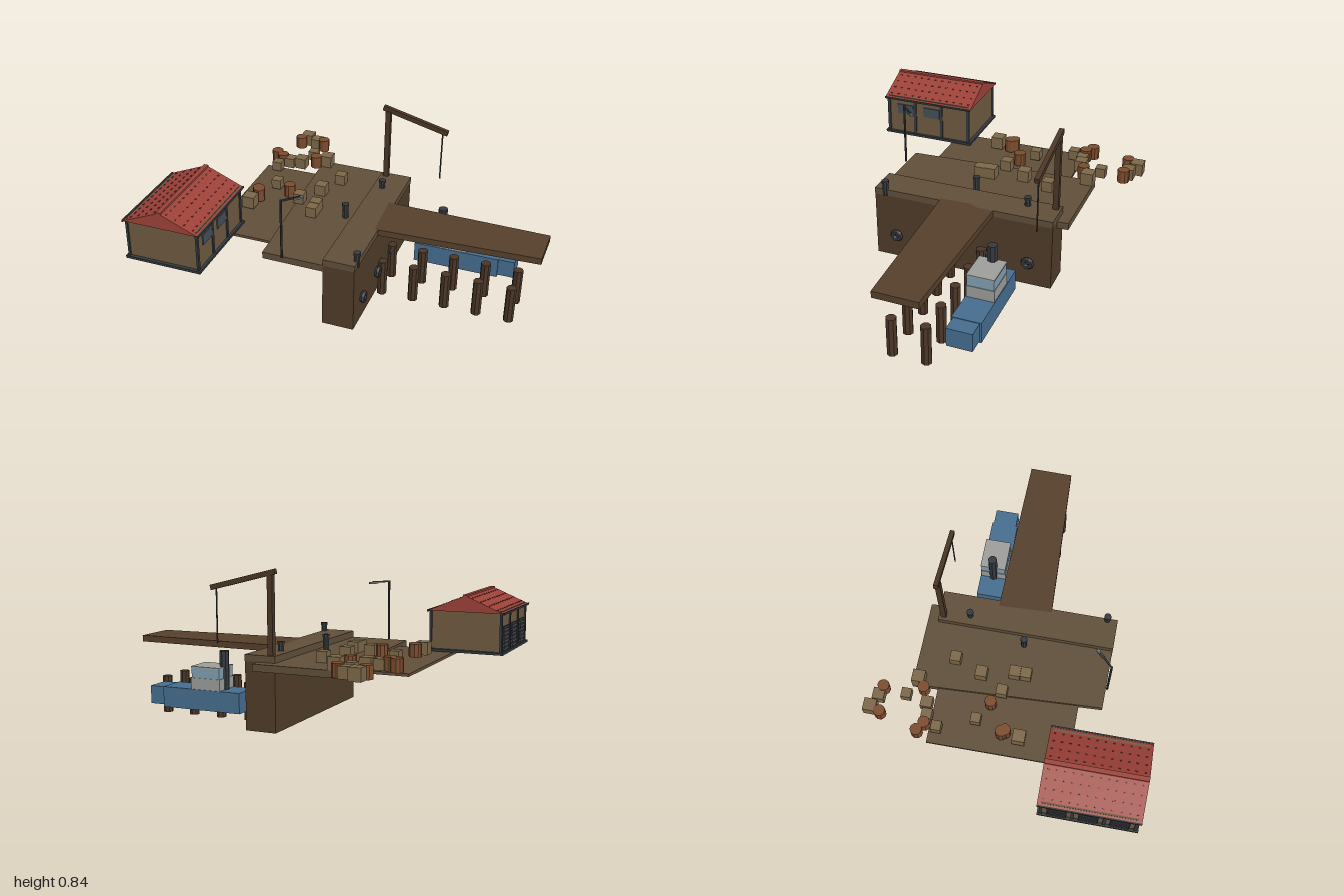
import * as THREE from 'three';

const mats = {};
const mat = (color) => (mats[color] ??= new THREE.MeshStandardMaterial({ color, flatShading: true }));
const C = {
  deck: 0x5f4e39, wall: 0x4f3b28, pier: 0x553f2b, post: 0x4a3626, crate: 0x7c6749, barrel: 0x7a4b2c,
  house: 0x6e5a40, roof: 0x9c4138, dark: 0x35393d, blue: 0x456c8e, glass: 0x7f9fb4, grey: 0x9c9c9a,
};

function add(parent, name, geo, color, x = 0, y = 0, z = 0) {
  const m = new THREE.Mesh(geo, mat(color));
  m.name = name;
  m.position.set(x, y, z);
  parent.add(m);
  return m;
}
// Box given by its min/max on each axis
function span(parent, name, color, [x0, x1], [y0, y1], [z0, z1]) {
  return add(parent, name, new THREE.BoxGeometry(x1 - x0, y1 - y0, z1 - z0), color,
    (x0 + x1) / 2, (y0 + y1) / 2, (z0 + z1) / 2);
}
// Upright cylinder between two heights
function drum(parent, name, color, x, z, r, y0, y1, sides = 8) {
  return add(parent, name, new THREE.CylinderGeometry(r, r, y1 - y0, sides), color, x, (y0 + y1) / 2, z);
}
// Flat slab from an outline of [x, z] corners
function slab(parent, name, color, corners, y0, y1) {
  const shape = new THREE.Shape(corners.map(([x, z]) => new THREE.Vector2(x, -z)));
  const geo = new THREE.ExtrudeGeometry(shape, { depth: y1 - y0, bevelEnabled: false }).rotateX(-Math.PI / 2);
  return add(parent, name, geo, color, 0, y0, 0);
}

function buildHouse(parent) {
  const house = new THREE.Group();
  house.name = 'warehouse';
  house.position.set(-0.412, 0, -0.538);
  parent.add(house);
  const L = 0.256, W = 0.203, l = 0.238, w = 0.188, eave = 0.59, rise = 0.085;
  span(house, 'plinth', C.dark, [-L, L], [0.377, 0.39], [-W, W]);
  span(house, 'walls', C.house, [-l, l], [0.39, 0.6], [-w, w]);

  // Gable roof prism with the ridge along x
  const tri = new THREE.Shape([[-W, 0], [W, 0], [0, rise]].map((p) => new THREE.Vector2(...p)));
  const roof = new THREE.ExtrudeGeometry(tri, { depth: 2 * L, bevelEnabled: false });
  roof.translate(0, 0, -L).rotateY(Math.PI / 2);
  add(house, 'roof', roof, C.roof, 0, eave, 0);
  span(house, 'ridgeCap', C.roof, [-L, L], [eave + rise - 0.008, eave + rise + 0.004], [-0.012, 0.012]);

  const slope = Math.atan2(rise, W);
  for (const s of [-1, 1]) {
    span(house, 'eaveTrim', C.dark, [-L, L], [0.584, 0.594], [s * W - 0.004, s * W + 0.004]);
    // Rows of small roof studs
    for (let row = 0; row < 4; row++) {
      const t = 0.16 + row * 0.22;
      for (let i = 0; i < 12; i++) {
        const stud = add(house, 'roofStud', new THREE.BoxGeometry(0.012, 0.006, 0.006), 0x6b2d28,
          -L + 0.025 + i * 0.042, eave + rise * (1 - t), s * W * t);
        stud.rotation.x = s * slope;
      }
    }
    // Vertical frame posts on both long walls
    for (const x of [-l, -l / 3, l / 3, l])
      span(house, 'framePost', C.dark, [x - 0.008, x + 0.008], [0.39, 0.59], [s * w - 0.006, s * w + 0.006]);
  }
  // Windows facing the quay
  for (const x of [-0.137, 0.02])
    span(house, 'window', 0x434d58, [x - 0.048, x + 0.048], [0.5, 0.555], [w, w + 0.006]);
  // Slatted shutters on the rear wall
  for (const x of [-0.158, 0, 0.158]) {
    span(house, 'shutter', C.dark, [x - 0.05, x + 0.05], [0.39, 0.52], [-w - 0.005, -w]);
    for (let i = 0; i < 6; i++)
      span(house, 'shutterSlat', 0x4a4f54, [x - 0.047, x + 0.047],
        [0.396 + i * 0.02, 0.408 + i * 0.02], [-w - 0.009, -w - 0.004]);
  }
}

function buildBoat(parent) {
  const boat = new THREE.Group();
  boat.name = 'boat';
  boat.position.set(0.331, 0, 0);
  parent.add(boat);
  span(boat, 'hull', C.blue, [-0.073, 0.073], [0.08, 0.188], [0.474, 0.93]);
  span(boat, 'bow', C.blue, [-0.064, 0.064], [0.09, 0.185], [0.93, 1.015]);
  span(boat, 'cabinBase', C.grey, [-0.07, 0.07], [0.188, 0.248], [0.59, 0.76]);
  span(boat, 'cabinWindows', C.glass, [-0.067, 0.067], [0.248, 0.3], [0.593, 0.757]);
  span(boat, 'cabinRoof', C.grey, [-0.07, 0.07], [0.3, 0.308], [0.59, 0.76]);
  drum(boat, 'funnel', C.dark, 0, 0.6, 0.025, 0.188, 0.39);
}

export function createModel() {
  const root = new THREE.Group();
  root.name = 'harbour';

  // Decks and pier
  slab(root, 'rearDeck', C.deck, [[0, -0.665], [-0.52, -0.14], [-0.27, 0.11], [0.25, -0.415]], 0.358, 0.372);
  slab(root, 'frontDeck', C.deck, [[-0.37, 0.185], [-0.035, 0.525], [0.625, -0.225], [0.3, -0.555]], 0.35, 0.386);
  slab(root, 'pierDeck', C.pier, [[0.21, 0.27], [0.83, 0.838], [0.992, 0.68], [0.4, 0.06]], 0.386, 0.42);
  for (let i = 0; i < 5; i++)
    for (const s of [0, 0.12])
      drum(root, 'pierPost', C.post, 0.275 + i * 0.12 + s, 0.25 + i * 0.12 - s, 0.026, 0, 0.2);

  // Parts aligned with the diagonal quay: local x runs along it, local z points to the water
  const quay = new THREE.Group();
  quay.name = 'quay';
  quay.rotation.y = Math.PI / 4;
  root.add(quay);
  span(quay, 'quayWall', C.wall, [-0.396, 0.545], [0.04, 0.386], [0.19, 0.354]);
  span(quay, 'coping', C.deck, [-0.396, 0.545], [0.386, 0.42], [0.19, 0.356]);
  for (let i = 0; i < 4; i++)
    add(quay, 'fender', new THREE.TorusGeometry(0.021, 0.013, 6, 10), C.dark, -0.28 + i * 0.235, 0.168, 0.367);
  buildHouse(quay);
  buildBoat(quay);

  // Bollards
  for (const [x, z] of [[0.005, 0.487], [0.15, 0.05], [0.44, -0.097]]) {
    drum(root, 'bollard', C.dark, x, z, 0.016, 0.385, 0.455);
    drum(root, 'bollardCap', C.dark, x, z, 0.019, 0.452, 0.467);
  }

  // Crane: post, sloping beam and rope
  const post = add(root, 'cranePost', new THREE.BoxGeometry(0.028, 0.425, 0.028), C.post, 0.523, 0.6, -0.21);
  post.rotation.y = Math.PI / 4;
  const a = new THREE.Vector3(0.505, 0.828, -0.233), b = new THREE.Vector3(0.757, 0.737, 0.023);
  const beam = add(root, 'craneBeam', new THREE.BoxGeometry(0.024, 0.026, a.distanceTo(b)), C.post);
  beam.position.copy(a).lerp(b, 0.5);
  beam.lookAt(b);
  drum(root, 'craneRope', C.dark, 0.737, 0.003, 0.004, 0.46, 0.74, 6);

  // Street lamp
  drum(root, 'lampPost', C.dark, -0.299, 0.267, 0.006, 0.385, 0.712, 6);
  span(root, 'lampArm', C.dark, [-0.3, -0.2], [0.704, 0.712], [0.263, 0.271]);
  span(root, 'lampHead', 0x6d7072, [-0.232, -0.182], [0.698, 0.708], [0.259, 0.275]);

  // Crates [x, z, size] and barrels [x, z]
  const crates = [
    [0.31, -0.8, 0.065], [0.336, -0.73, 0.06], [0.262, -0.61, 0.052], [0.3, -0.51, 0.065], [0.16, -0.55, 0.06],
    [0.107, -0.585, 0.055], [0.027, -0.58, 0.052], [-0.053, -0.39, 0.052], [-0.262, -0.264, 0.065],
    [-0.005, -0.195, 0.056], [0.138, -0.227, 0.06], [0.285, -0.29, 0.056], [0.04, -0.082, 0.058], [0, -0.04, 0.056],
  ];
  for (const [x, z, s] of crates)
    add(root, 'crate', new THREE.BoxGeometry(s, s, s), C.crate, x, 0.386 + s / 2, z).rotation.y = Math.PI / 4;
  const barrels = [[0.064, -0.676], [0.075, -0.622], [0.256, -0.777], [0.358, -0.686], [0.235, -0.52],
    [-0.19, -0.325], [-0.195, -0.305], [-0.027, -0.28]];
  for (const [x, z] of barrels) drum(root, 'barrel', C.barrel, x, z, 0.031, 0.386, 0.453, 10);

  return root;
}
